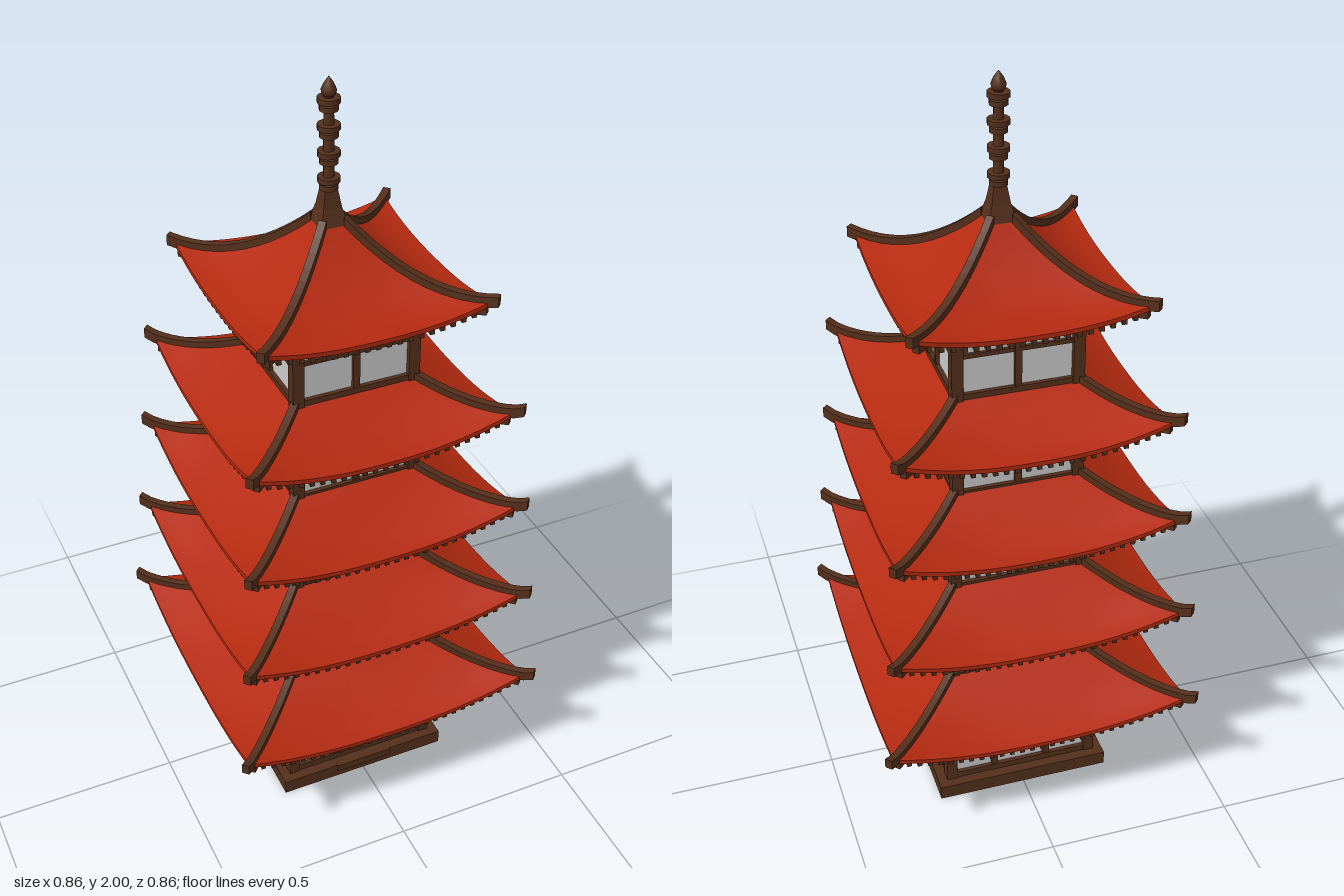
import * as THREE from 'three';
import { mergeGeometries } from 'three/addons/utils/BufferGeometryUtils.js';

const red = new THREE.MeshStandardMaterial({ color: 0xb52a10 });
const brown = new THREE.MeshStandardMaterial({ color: 0x55301c });
const grey = new THREE.MeshStandardMaterial({ color: 0xcccccc });

// Storeys: wall half-width h, floor y0, wall top y1; roof: inner/outer half-width, top, eave, corner lift, curve
const storeys = [
  { h: 0.215, y0: 0.04, y1: 0.28, inner: 0.19, outer: 0.405, top: 0.407, eave: 0.295, lift: 0.052, curve: 1.25, tip: 0.43 },
  { h: 0.2, y0: 0.39, y1: 0.57, inner: 0.178, outer: 0.385, top: 0.693, eave: 0.582, lift: 0.052, curve: 1.25, tip: 0.408, bar: 0.465, sidePost: false },
  { h: 0.186, y0: 0.68, y1: 0.855, inner: 0.165, outer: 0.365, top: 0.975, eave: 0.868, lift: 0.052, curve: 1.25, tip: 0.388, bar: 0.757, sidePost: false },
  { h: 0.174, y0: 0.96, y1: 1.14, inner: 0.155, outer: 0.345, top: 1.25, eave: 1.15, lift: 0.052, curve: 1.25, tip: 0.368, bar: 1.08, sidePost: true },
  { h: 0.17, y0: 1.24, y1: 1.43, inner: 0.03, outer: 0.292, top: 1.64, eave: 1.465, lift: 0.035, curve: 1.9, tip: 0.309, bar: 1.36, sidePost: true },
];

function box(w, h, d, x, y, z) {
  return new THREE.BoxGeometry(w, h, d).translate(x, y, z).toNonIndexed();
}

function mesh(name, geometry, material) {
  const m = new THREE.Mesh(geometry, material);
  m.name = name;
  return m;
}

// Repeat a front piece on all four sides
function fourSides(geometry, offset = 0) {
  return [0, 1, 2, 3].map(k => geometry.clone().rotateY(offset + k * Math.PI / 2));
}

// Curved grid from a rule (u, v in 0..1)
function sheet(rule, nu, nv) {
  const g = new THREE.PlaneGeometry(1, 1, nu, nv);
  const { position, uv } = g.attributes;
  for (let i = 0; i < position.count; i++) {
    position.setXYZ(i, ...rule(uv.getX(i), 1 - uv.getY(i)));
  }
  g.computeVertexNormals();
  return g;
}

// Curved bar running outward along +z, between two height rules
function rib(low, high, r0, r1, width, x, steps) {
  const pts = [];
  const at = i => r0 + (r1 - r0) * i / steps;
  for (let i = 0; i <= steps; i++) pts.push(new THREE.Vector2(at(i), low(at(i))));
  for (let i = steps; i >= 0; i--) pts.push(new THREE.Vector2(at(i), high(at(i))));
  return new THREE.ExtrudeGeometry(new THREE.Shape(pts), { depth: width, bevelEnabled: false })
    .rotateY(-Math.PI / 2).translate(x + width / 2, 0, 0);
}

function makeRoof(s, name) {
  const roof = new THREE.Group();
  roof.name = name;
  const height = (x, r) => {
    const t = Math.max(0, (r - s.inner) / (s.outer - s.inner));
    const u = Math.min(1, Math.abs(x) / r);
    const fall = 1 - Math.pow(Math.max(0, 1 - t), s.curve);
    return s.top - (s.top - s.eave) * fall + s.lift * t * t * Math.pow(u, 2.4);
  };
  const point = (u, v, drop) => {
    const r = s.inner + (s.outer - s.inner) * v;
    const x = (2 * u - 1) * r;
    return [x, height(x, r) - drop, r];
  };
  const thick = 0.012;

  // Tiled slopes, eave edge and boarded underside
  roof.add(mesh('roofSlopes', mergeGeometries(fourSides(sheet((u, v) => point(u, v, 0), 16, 10))), red));
  roof.add(mesh('eaveEdge', mergeGeometries(fourSides(sheet((u, v) => point(u, 1, v * thick), 16, 1))), red));
  roof.add(mesh('roofUnderside', mergeGeometries(fourSides(sheet((u, v) => point(1 - u, v, thick), 16, 10))), brown));

  // Rafters under each slope
  const rafters = [];
  const count = Math.round(s.outer / 0.029);
  for (let i = -count; i <= count; i++) {
    const x = i / (count + 0.5) * s.outer;
    const start = Math.max(s.h - 0.02, Math.abs(x) + 0.004);
    const end = s.outer - 0.008;
    if (end - start < 0.012) continue;
    rafters.push(rib(r => height(x, r) - 0.03, r => height(x, r) - 0.01, start, end, 0.012, x, 5));
  }
  roof.add(mesh('rafters', mergeGeometries(rafters.flatMap(g => fourSides(g))), brown));

  // Hip ridges with upturned tips, and hip beams beneath
  const q = Math.SQRT2;
  const corner = d => height(d / q, d / q);
  const ridge = rib(d => corner(d) - 0.014, d => corner(d) + 0.014, s.inner * q, s.tip * q - 0.008, 0.02, 0, 12);
  const hip = rib(d => corner(d) - 0.036, d => corner(d) - 0.008, (s.h - 0.02) * q, s.outer * q - 0.012, 0.018, 0, 8);
  roof.add(mesh('hipRidges', mergeGeometries(fourSides(ridge, Math.PI / 4)), brown));
  roof.add(mesh('hipBeams', mergeGeometries(fourSides(hip, Math.PI / 4)), brown));

  // Stepped brackets between wall and rafters
  const brackets = [0, 1, 2].map(i => {
    const w = 2 * (s.h + 0.005 + i * 0.012);
    return box(w, 0.014, w, 0, s.y1 + 0.007 + i * 0.013, 0);
  });
  const core = 2 * (s.h - 0.015);
  brackets.push(box(core, 0.06, core, 0, s.y1 + 0.03, 0));
  roof.add(mesh('brackets', mergeGeometries(brackets), brown));
  return roof;
}

function makeStorey(s, index) {
  const storey = new THREE.Group();
  storey.name = 'storey' + (index + 1);
  const tall = s.y1 - s.y0;
  const mid = (s.y0 + s.y1) / 2;
  const wall = s.h - 0.014;
  storey.add(mesh('wallPanels', box(wall * 2, tall, wall * 2, 0, mid, 0), grey));

  // Corner posts and the beams round the top and bottom
  const frame = [];
  for (const x of [-1, 1]) for (const z of [-1, 1]) {
    frame.push(box(0.03, tall, 0.03, x * (s.h - 0.015), mid, z * (s.h - 0.015)));
  }
  const z = wall + 0.002;
  const span = 2 * (s.h - 0.02);
  frame.push(...fourSides(box(span, 0.028, 0.018, 0, s.y1 - 0.014, z)));
  frame.push(...fourSides(box(span, 0.018, 0.018, 0, s.y0 + 0.009, z)));

  // Window bars on each side
  for (let k = 0; k < 4; k++) {
    const bars = [];
    const door = index === 0 && k === 0;
    if (index === 0) {
      const px = door ? 0.072 : 0.075;
      for (const sx of [-1, 1]) {
        bars.push(box(0.018, tall, 0.016, sx * px, mid, z));
        if (door) bars.push(box(0.12, 0.016, 0.012, sx * 0.137, 0.165, z));
      }
      if (door) bars.push(box(0.144, 0.018, 0.016, 0, 0.207, z));
      else bars.push(box(span, 0.016, 0.012, 0, 0.165, z));
    } else {
      bars.push(box(span, 0.012, 0.012, 0, s.bar, z));
      if (k % 2 === 0 || s.sidePost) bars.push(box(0.018, tall, 0.016, 0, mid, z));
    }
    frame.push(...bars.map(g => g.rotateY(k * Math.PI / 2)));
  }
  storey.add(mesh('timberFrame', mergeGeometries(frame), brown));
  storey.add(makeRoof(s, 'roof' + (index + 1)));
  return storey;
}

function makeSpire() {
  const spire = new THREE.Group();
  spire.name = 'spire';
  // Square flared foot
  const foot = [[0.066, 1.595], [0.05, 1.635], [0.034, 1.675], [0.022, 1.725], [0, 1.725]]
    .map(p => new THREE.Vector2(...p));
  const footGeometry = new THREE.LatheGeometry(foot, 4, Math.PI / 4).toNonIndexed();
  footGeometry.computeVertexNormals();
  spire.add(mesh('spireFoot', footGeometry, brown));
  // Shaft, rings and pointed finial
  const parts = [new THREE.CylinderGeometry(0.012, 0.014, 0.28, 12).translate(0, 1.83, 0)];
  for (let i = 0; i < 4; i++) {
    const y = 1.735 + i * 0.066;
    parts.push(new THREE.CylinderGeometry(0.028, 0.028, 0.013, 12).translate(0, y + 0.01, 0));
    parts.push(new THREE.CylinderGeometry(0.023, 0.023, 0.013, 12).translate(0, y - 0.009, 0));
  }
  const tip = [[0, 1.945], [0.016, 1.955], [0.019, 1.967], [0.012, 1.983], [0, 2]].map(p => new THREE.Vector2(...p));
  parts.push(new THREE.LatheGeometry(tip, 12));
  spire.add(mesh('shaftAndRings', mergeGeometries(parts), brown));
  return spire;
}

export function createModel() {
  const pagoda = new THREE.Group();
  pagoda.name = 'pagoda';
  pagoda.add(mesh('base', box(0.48, 0.04, 0.48, 0, 0.02, 0), brown));
  pagoda.add(mesh('doorStep', box(0.16, 0.022, 0.012, 0, 0.03, 0.238), brown));
  storeys.forEach((s, i) => pagoda.add(makeStorey(s, i)));
  pagoda.add(makeSpire());
  return pagoda;
}
